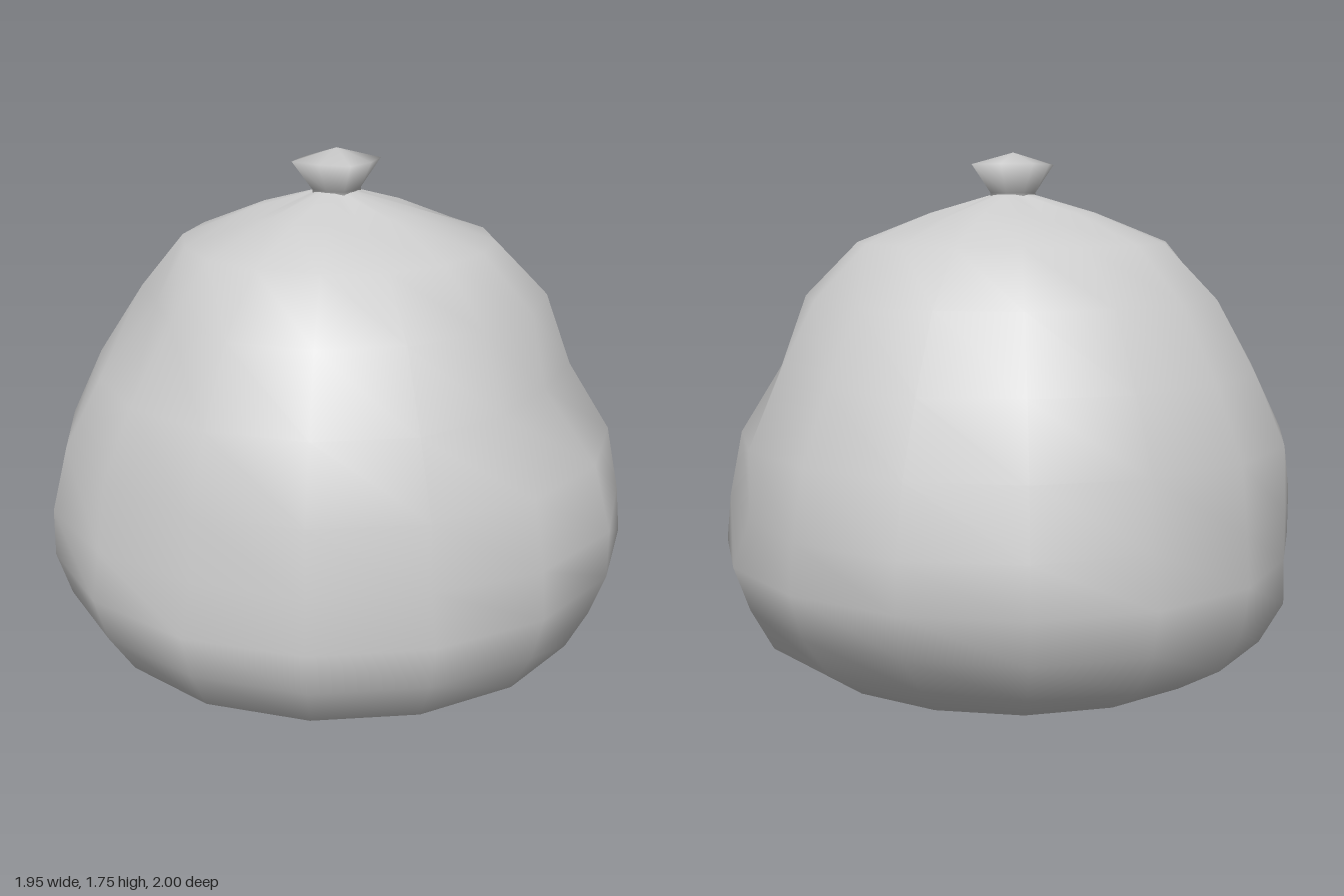
import * as THREE from 'three';
import { mergeVertices } from 'three/addons/utils/BufferGeometryUtils.js';

const CENTRE_X = -0.025;

// Lathe with a welded seam, reshaped by a rule, with smooth normals
function smoothLathe(profile, sides, reshape) {
  const lathe = new THREE.LatheGeometry(profile.map(([r, y]) => new THREE.Vector2(r, y)), sides);
  lathe.deleteAttribute('normal');
  lathe.deleteAttribute('uv');
  const geometry = mergeVertices(lathe, 1e-4);
  const pos = geometry.attributes.position;
  for (let i = 0; i < pos.count; i++) {
    const r = Math.hypot(pos.getX(i), pos.getZ(i));
    const angle = Math.atan2(pos.getX(i), pos.getZ(i));
    const [r2, y2] = reshape(r, angle, pos.getY(i));
    pos.setXYZ(i, r2 * Math.sin(angle), y2, r2 * Math.cos(angle));
  }
  geometry.computeVertexNormals();
  return geometry;
}

// Dents: angle in degrees from the front towards +x, height, depth, angular width, height width
const DENTS = [
  [90, 1.06, 0.09, 28, 0.12],
  [270, 0.5, 0.075, 25, 0.13],
  [0, 0.61, 0.07, 25, 0.1],
  [180, 0.15, 0.06, 25, 0.07],
  [135, 0.62, 0.07, 20, 0.1],
  [315, 1.22, 0.1, 24, 0.16],
  [45, 0.56, 0.05, 20, 0.1],
  [225, 0.57, 0.05, 20, 0.1],
  [112, 0.24, 0.05, 18, 0.09],
  [315, 0.15, 0.04, 22, 0.08],
];

function dentBag(r, angle, y) {
  let r2 = r;
  if (r > 0.4) {
    for (const [deg, dy, depth, wa, wy] of DENTS) {
      const turn = ((angle * 180) / Math.PI - deg + 900) % 360 - 180;
      r2 -= depth * Math.exp(-((turn / wa) ** 2) - ((y - dy) / wy) ** 2);
    }
  }
  // Gathered creases on the four diagonals below the neck
  const diagonal = Math.sin(2 * angle) ** 8;
  const crease = y > 1.5 && r > 0.1 ? 0.025 * diagonal : 0;
  return [r2, y - crease];
}

export function createModel() {
  const group = new THREE.Group();
  const plastic = new THREE.MeshStandardMaterial({ color: 0xcccccc, side: THREE.DoubleSide });
  plastic.name = 'grey plastic';

  // Slumped bag body, from the flat base to the neck
  const bagProfile = [
    [0, 0], [0.39, 0.005], [0.72, 0.035], [0.875, 0.13], [0.955, 0.27],
    [1.0, 0.42], [1.0, 0.58], [0.94, 0.8], [0.84, 1.03], [0.71, 1.27],
    [0.53, 1.45], [0.28, 1.55], [0.07, 1.61],
  ];
  const bag = new THREE.Mesh(smoothLathe(bagProfile, 16, dentBag), plastic);
  bag.name = 'bag';

  // Tied top: squarish flared knot
  const knotProfile = [[0.07, 1.595], [0.07, 1.615], [0.128, 1.71], [0, 1.75]];
  const squarish = (r, angle, y) => [r * (1 + 0.2 * Math.sin(2 * angle) ** 2), y];
  const knot = new THREE.Mesh(smoothLathe(knotProfile, 8, squarish), plastic);
  knot.name = 'knot';

  for (const part of [bag, knot]) {
    part.position.x = CENTRE_X;
    group.add(part);
  }
  return group;
}
